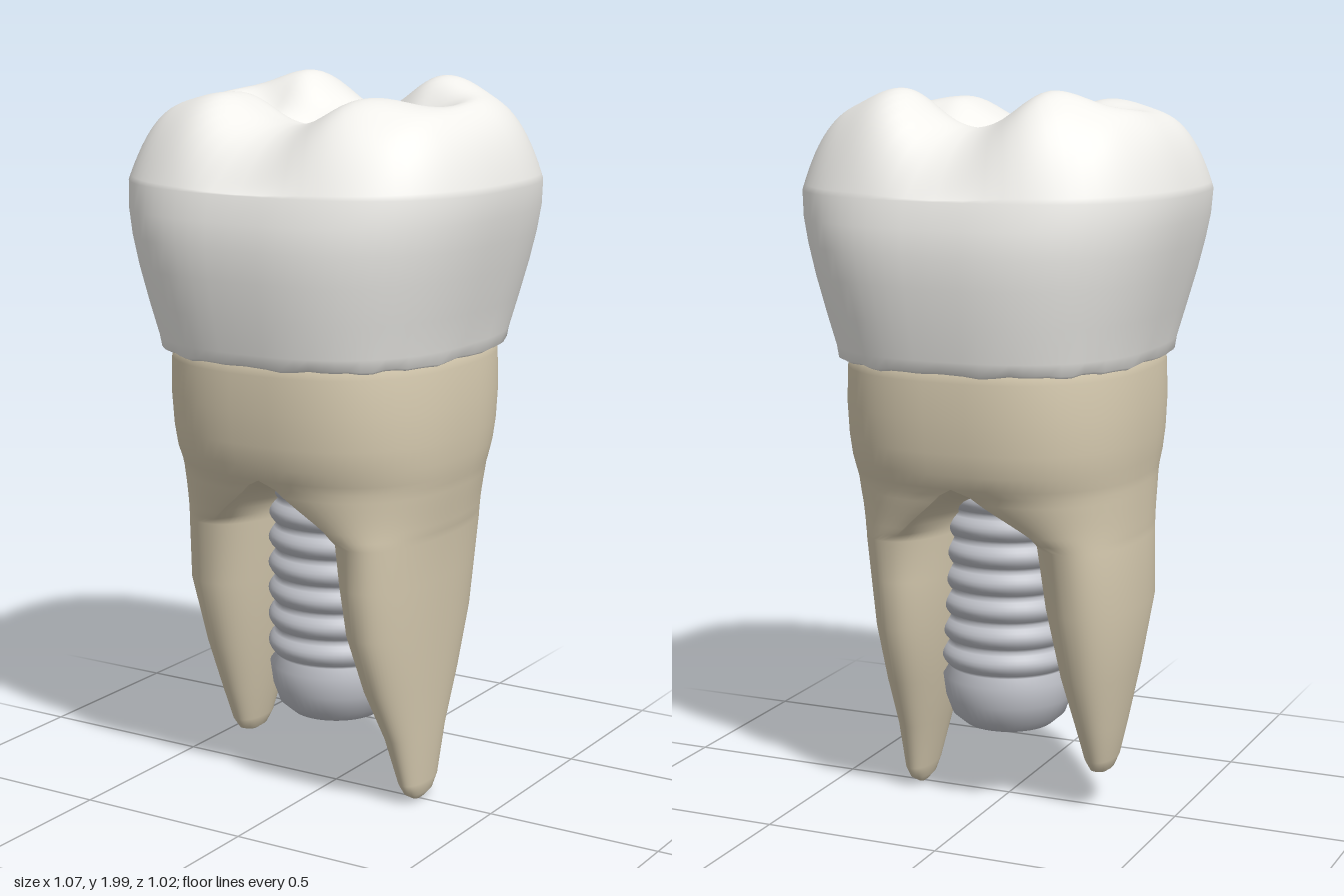
import * as THREE from 'three';
import { mergeGeometries, mergeVertices } from 'three/addons/utils/BufferGeometryUtils.js';

const N = 72;
const { lerp, smoothstep } = THREE.MathUtils;

// Point on a rounded-square (superellipse) section
function sectionPoint(t, cx, y, hx, hz, n) {
  const c = Math.cos(t), s = Math.sin(t);
  const p = (v) => Math.sign(v) * Math.pow(Math.abs(v) < 1e-9 ? 0 : Math.abs(v), 2 / n);
  return new THREE.Vector3(cx + hx * p(c), y, hz * p(s));
}

// Ring of N points, starting at angle t0
function ring(fn, t0 = 0) {
  return Array.from({ length: N }, (_, k) => fn(t0 + (2 * Math.PI * k) / N, k));
}

// Surface through rings listed from bottom to top
function loft(rings, capBottom = false, capTop = false) {
  const pts = rings.flat(), index = [];
  for (let i = 0; i < rings.length - 1; i++) {
    for (let k = 0; k < N; k++) {
      const a = i * N + k, b = i * N + ((k + 1) % N);
      index.push(a, a + N, b, b, a + N, b + N);
    }
  }
  const cap = (r, flip) => {
    const start = r * N, c = pts.length;
    pts.push(rings[r].reduce((s, p) => s.add(p), new THREE.Vector3()).divideScalar(N));
    for (let k = 0; k < N; k++) {
      const a = start + k, b = start + ((k + 1) % N);
      if (flip) index.push(c, b, a); else index.push(c, a, b);
    }
  };
  if (capBottom) cap(0, false);
  if (capTop) cap(rings.length - 1, true);
  const g = new THREE.BufferGeometry().setFromPoints(pts);
  g.setIndex(index);
  return g;
}

function smooth(geometry) {
  const g = mergeVertices(geometry, 1e-4);
  g.computeVertexNormals();
  return g;
}

// Height of the chewing surface: four cusps, end ridges and a central groove
function biteHeight(x, z) {
  const ax = Math.abs(x), back = 1 - smoothstep(z, -0.14, 0.1);
  const cusp = (0.08 + 0.025 * back) * Math.exp(-(((ax - 0.22) / 0.12) ** 2));
  const ridge = 0.055 * smoothstep(ax, 0.22, 0.42);
  const groove = 0.1 * Math.exp(-(((z + 0.03) / 0.09) ** 2)) * (1 - smoothstep(ax, 0.22, 0.4));
  const fall = 1.6 * Math.max(0, Math.abs(z) - 0.2) ** 2;
  return 1.875 + 0.015 * back + cusp + ridge - groove - fall;
}

function crownGeometry() {
  // Side wall: y, half width, half depth
  const wall = [
    [1.285, 0.36, 0.38], [1.272, 0.415, 0.445], [1.28, 0.43, 0.46], [1.31, 0.434, 0.468],
    [1.4, 0.46, 0.488], [1.5, 0.489, 0.504], [1.58, 0.51, 0.51], [1.65, 0.526, 0.505], [1.72, 0.535, 0.488],
  ];
  const rings = wall.map(([y, hx, hz], i) => ring((t) => {
    const ripple = i === 1 || i === 2 ? 0.005 * Math.sin(t * 17) * Math.sin(t * 5 + 1) : 0;
    return sectionPoint(t, 0, y + ripple, hx, hz, 2.6);
  }));
  // Chewing surface closing in to the middle
  const steps = 36;
  for (let i = 1; i < steps; i++) {
    const r = 1 - (i / steps) ** 1.3;
    rings.push(ring((t) => {
      const p = sectionPoint(t, 0, 0, 0.535 * r, 0.488 * r, lerp(2, 2.6, r));
      p.y = lerp(biteHeight(p.x, p.z), 1.72, r ** 9);
      return p;
    }));
  }
  return smooth(loft(rings, true, true));
}

// Trunk bottom section, shared with the tops of both roots
const FORK = { y: 0.96, hx: 0.402, hz: 0.39, n: 2.5 };
const forkPoint = (t) => sectionPoint(t, 0, FORK.y, FORK.hx, FORK.hz, FORK.n);

// One root: its top ring is half the trunk outline plus the arch of the fork
function rootGeometry(t0, rows) {
  const start = t0 - Math.PI / 2;
  const isInner = (k) => k > N / 2;
  const top = ring((t, k) => {
    const p = forkPoint(t);
    if (isInner(k)) {
      p.x = -0.015 * Math.abs(Math.cos(t));
      p.y = 0.89 + 0.07 * Math.sin(t) ** 2;
    }
    return p;
  }, start);
  const lower = rows.map(([y, x0, x1, hz]) => ring(
    (t) => sectionPoint(t, (x0 + x1) / 2, y, Math.abs(x1 - x0) / 2, hz, 2.2), start));
  const rings = [top];
  const steps = 8;
  for (let i = 1; i < steps; i++) {
    const u = i / steps, a = (u * Math.PI) / 2;
    rings.push(ring((t, k) => {
      const w = Math.max(0, -Math.cos(t - t0));
      const across = lerp(smoothstep(u, -0.3, 1.3) , Math.sin(a), w);
      const down = lerp(u, 1 - Math.cos(a), w);
      const p = top[k].clone().lerp(lower[0][k], across);
      p.y = lerp(top[k].y, lower[0][k].y, down);
      return p;
    }, start));
  }
  // Keep the first ring joined to the trunk
  rings.push(...lower);
  return loft(rings.reverse(), true);
}

function rootsGeometry() {
  const trunk = loft([
    ring(forkPoint),
    ...[[1.0, 0.408, 0.41], [1.06, 0.414, 0.423], [1.15, 0.417, 0.433], [1.25, 0.412, 0.436], [1.3, 0.405, 0.43]]
      .map(([y, hx, hz]) => ring((t) => sectionPoint(t, 0, y, hx, hz, FORK.n))),
  ], false, true);
  // Rows: y, inner x, outer x, half depth
  const longRoot = rootGeometry(0, [
    [0.78, 0.1, 0.367, 0.305], [0.66, 0.11, 0.357, 0.29], [0.52, 0.128, 0.345, 0.27],
    [0.35, 0.16, 0.33, 0.205], [0.2, 0.2, 0.316, 0.13], [0.06, 0.232, 0.305, 0.085],
    [0.025, 0.242, 0.297, 0.06], [0.005, 0.258, 0.28, 0.025], [0, 0.265, 0.273, 0.01],
  ]);
  const shortRoot = rootGeometry(Math.PI, [
    [0.78, -0.128, -0.396, 0.265], [0.6, -0.15, -0.403, 0.24], [0.4, -0.185, -0.372, 0.18],
    [0.25, -0.22, -0.345, 0.12], [0.15, -0.242, -0.325, 0.08], [0.117, -0.255, -0.312, 0.055],
    [0.105, -0.272, -0.295, 0.02],
  ]);
  return smooth(mergeGeometries([trunk, longRoot, shortRoot]));
}

// Threaded screw with a blunt rounded end
function screwGeometry() {
  const profile = [[0, 0.2], [0.075, 0.203], [0.125, 0.22], [0.16, 0.25], [0.178, 0.3], [0.186, 0.36]];
  const pitch = 0.076, turns = 8, seg = 8;
  for (let i = 0; i <= turns * seg; i++) {
    const wave = Math.abs(Math.sin((Math.PI * i) / seg));
    profile.push([0.167 + 0.023 * wave, 0.385 + (pitch * i) / seg]);
  }
  profile.push([0, 0.385 + pitch * turns]);
  return new THREE.LatheGeometry(profile.map(([r, y]) => new THREE.Vector2(r, y)), 48);
}

export function createModel() {
  const model = new THREE.Group();
  model.name = 'molarWithImplant';
  const add = (name, geometry, color) => {
    const mesh = new THREE.Mesh(geometry, new THREE.MeshStandardMaterial({ color }));
    mesh.name = name;
    model.add(mesh);
  };
  add('crown', crownGeometry(), 0xf0efeb);
  add('roots', rootsGeometry(), 0xd9cdb2);
  add('implantScrew', screwGeometry(), 0xc0c2c9);
  return model;
}
